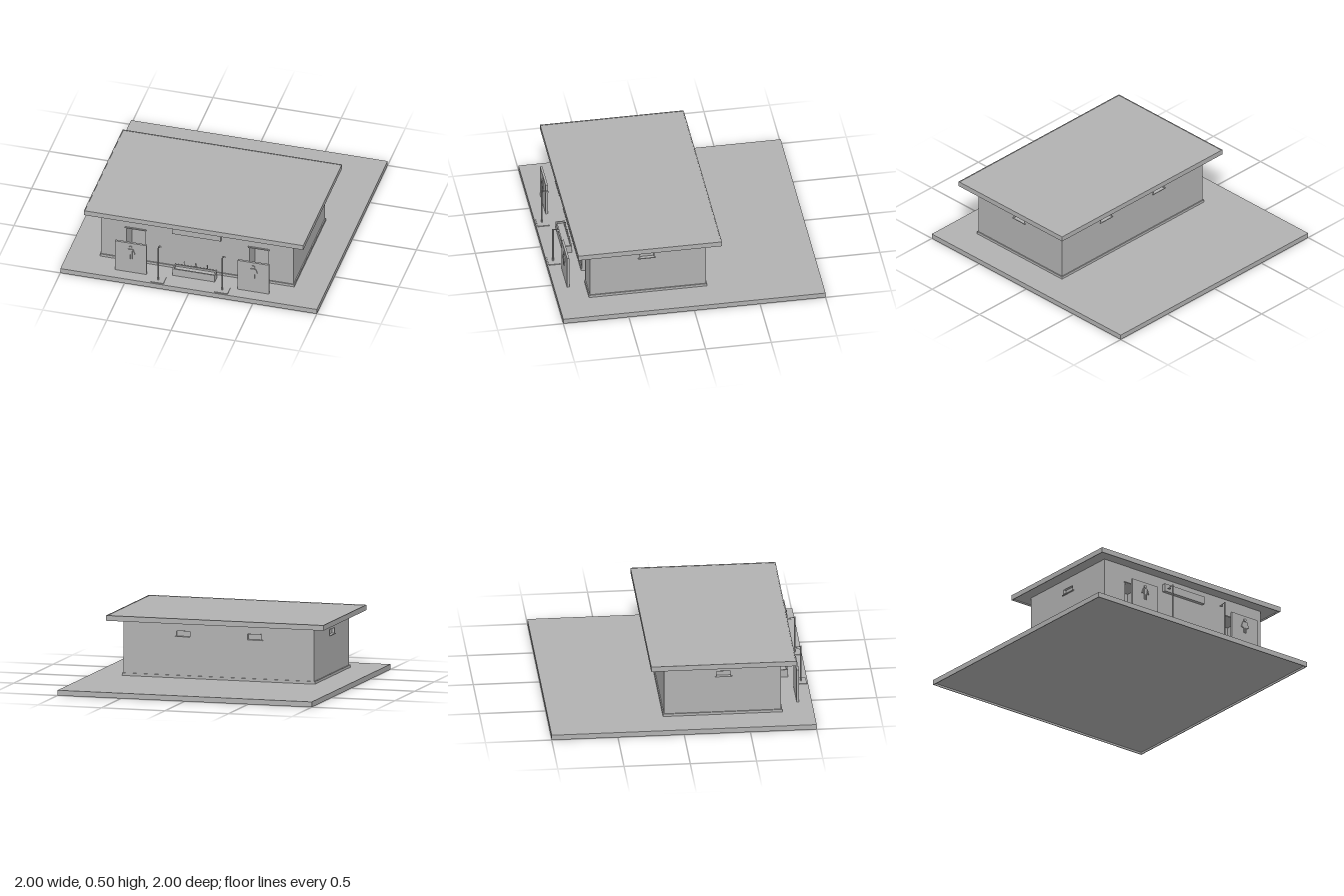
import * as THREE from 'three';

export function createModel() {
  const root = new THREE.Group();
  root.name = 'washroomBuilding';
  const grey = new THREE.MeshStandardMaterial({ color: 0xb2b2b2, side: THREE.DoubleSide });
  grey.name = 'plain grey';

  const add = (name, geo, parent = root) => {
    const m = new THREE.Mesh(geo, grey);
    m.name = name;
    parent.add(m);
    return m;
  };
  // Box given by its min and max on each axis
  const box = (name, x0, x1, y0, y1, z0, z1, parent = root) => {
    const m = add(name, new THREE.BoxGeometry(x1 - x0, y1 - y0, z1 - z0), parent);
    m.position.set((x0 + x1) / 2, (y0 + y1) / 2, (z0 + z1) / 2);
    return m;
  };
  const rect = (T, x0, x1, y0, y1) => {
    const s = new T();
    s.moveTo(x0, y0).lineTo(x1, y0).lineTo(x1, y1).lineTo(x0, y1).closePath();
    return s;
  };
  // Thin rectangular rim around a slab
  const rim = (name, x0, x1, y0, y1, z0, z1, t) => {
    const s = rect(THREE.Shape, x0, x1, -z1, -z0);
    s.holes.push(rect(THREE.Path, x0 + t, x1 - t, -z1 + t, -z0 - t));
    const g = new THREE.ExtrudeGeometry(s, { depth: y1 - y0, bevelEnabled: false });
    g.rotateX(-Math.PI / 2).translate(0, y0, 0);
    return add(name, g);
  };
  const rod = (name, pts, r, parent) => {
    const path = new THREE.CurvePath();
    for (let i = 1; i < pts.length; i++)
      path.add(new THREE.LineCurve3(new THREE.Vector3(...pts[i - 1]), new THREE.Vector3(...pts[i])));
    return add(name, new THREE.TubeGeometry(path, 24, r, 8), parent);
  };

  // Ground slab and roof, each with an edge rim
  box('groundSlab', -0.995, 0.995, 0.015, 0.04, -0.995, 0.995);
  rim('groundRim', -1, 1, 0, 0.04, -1, 1, 0.006);
  box('roofSlab', -0.85, 0.85, 0.475, 0.502, -0.23, 0.855);
  rim('roofRim', -0.855, 0.855, 0.465, 0.505, -0.235, 0.86, 0.006);

  // Walls with door and window openings
  const W = 0.75, ZB = -0.13, ZF = 0.755, ZM = (ZB + ZF) / 2, H = 0.475, T = 0.03;
  const door = [0.405, 0.555], doorTop = 0.335;
  const winY = [0.355, 0.4], winHalf = 0.058;

  const wall = (name, half, windows) => {
    const g = new THREE.Group();
    g.name = name;
    const s = rect(THREE.Shape, -half, half, 0.04, H);
    for (const c of windows) s.holes.push(rect(THREE.Path, c - winHalf, c + winHalf, ...winY));
    const geo = new THREE.ExtrudeGeometry(s, { depth: T, bevelEnabled: false });
    add('wallPanel', geo.translate(0, 0, -T), g);
    // Pane, frame and sill for every window
    for (const c of windows) {
      const a = c - winHalf, b = c + winHalf;
      box('windowPane', a, b, ...winY, -0.024, -0.018, g);
      box('windowSill', a - 0.008, b + 0.008, 0.349, 0.355, -0.01, 0.01, g);
      box('windowFrameTop', a, b, 0.396, 0.4, -0.02, 0.002, g);
      for (const x of [a, b - 0.004]) box('windowFrameSide', x, x + 0.004, ...winY, -0.02, 0.002, g);
    }
    box('baseTrim', -half - 0.008, half + 0.008, 0.04, 0.06, 0, 0.008, g);
    root.add(g);
    return g;
  };
  const back = wall('backWall', W, [-0.28, 0.28]);
  back.position.z = ZB;
  back.rotation.y = Math.PI;
  for (const s of [-1, 1]) {
    const side = wall(s > 0 ? 'leftWall' : 'rightWall', (ZF - ZB) / 2, [s * (ZM - 0.32)]);
    side.position.set(s * W, 0, ZM);
    side.rotation.y = s * Math.PI / 2;
  }

  // Front wall outline runs around both doorways
  const f = new THREE.Shape();
  f.moveTo(-W, 0.04);
  for (const [a, b] of [[-door[1], -door[0]], door])
    f.lineTo(a, 0.04).lineTo(a, doorTop).lineTo(b, doorTop).lineTo(b, 0.04);
  f.lineTo(W, 0.04).lineTo(W, H).lineTo(-W, H).closePath();
  const front = new THREE.ExtrudeGeometry(f, { depth: T, bevelEnabled: false });
  add('frontWall', front.translate(0, 0, ZF - T));
  for (const [a, b] of [[-W - 0.008, -door[1]], [-door[0], door[0]], [door[1], W + 0.008]])
    box('frontBaseTrim', a, b, 0.04, 0.06, ZF, ZF + 0.008);

  // Entrances, privacy screens, pictograms and showers on both sides
  for (const s of [-1, 1]) {
    const e = new THREE.Group();
    e.name = s > 0 ? 'leftEntrance' : 'rightEntrance';
    root.add(e);
    const xs = (a, b) => (s > 0 ? [a, b] : [-b, -a]);
    box('doorLintel', ...xs(0.397, 0.563), 0.335, 0.343, ZF - 0.01, ZF + 0.01, e);
    for (const x of door) box('entranceSide', ...xs(x - 0.003, x + 0.003), 0.04, doorTop, 0.6, ZF + 0.002, e);
    box('entranceBack', ...xs(...door), 0.04, doorTop, 0.6, 0.606, e);
    box('entranceCeiling', ...xs(...door), doorTop, doorTop + 0.005, 0.6, ZF - T, e);
    box('privacyScreen', ...xs(0.355, 0.6), 0.04, 0.305, 0.886, 0.903, e);

    // Person pictogram, with a skirt on one side
    const p = new THREE.Group();
    p.name = 'pictogram';
    p.position.set(s * 0.478, 0.165, 0.903);
    e.add(p);
    const head = add('pictogramHead', new THREE.CylinderGeometry(0.012, 0.012, 0.008, 16), p);
    head.rotation.x = Math.PI / 2;
    head.position.set(0, 0.104, 0.004);
    const body = new THREE.Shape();
    const w = s > 0 ? 0.03 : 0.013;
    body.moveTo(-w, 0.04).lineTo(w, 0.04).lineTo(0.013, 0.088).lineTo(-0.013, 0.088).closePath();
    add('pictogramBody', new THREE.ExtrudeGeometry(body, { depth: 0.008, bevelEnabled: false }), p);
    for (const k of [-1, 1]) {
      box('pictogramLeg', k * 0.007 - 0.005, k * 0.007 + 0.005, 0, 0.042, 0, 0.008, p);
      const arm = box('pictogramArm', -0.004, 0.004, -0.022, 0.022, 0, 0.008, p);
      arm.position.x = k * 0.023;
      arm.position.y = 0.066;
      arm.rotation.z = k * 0.35;
    }

    // Shower post, arm, head, button and tray
    const x = s * 0.25;
    const sh = new THREE.Group();
    sh.name = 'shower';
    root.add(sh);
    box('showerTray', x - 0.05, x + 0.05, 0.04, 0.046, 0.9, 0.99, sh);
    const post = add('showerPost', new THREE.CylinderGeometry(0.006, 0.006, 0.295, 12), sh);
    post.position.set(x, 0.1875, 0.95);
    rod('showerArm', [[x, 0.332, 0.952], [x, 0.328, 0.91]], 0.003, sh);
    const rose = add('showerHead', new THREE.CylinderGeometry(0.006, 0.014, 0.008, 16), sh);
    rose.position.set(x, 0.323, 0.91);
  }

  // Sign board above the wash trough
  box('signBoard', -0.19, 0.19, 0.365, 0.425, ZF, 0.783);

  // Wash trough with a sunken basin and three taps
  rim('troughRim', -0.165, 0.165, 0.04, 0.1, 0.79, 0.86, 0.01);
  box('troughFloor', -0.158, 0.158, 0.04, 0.085, 0.797, 0.853);
  for (const x of [-0.09, 0, 0.09])
    rod('tap', [[x, 0.08, 0.795], [x, 0.138, 0.795], [x, 0.136, 0.808]], 0.003);

  return root;
}
